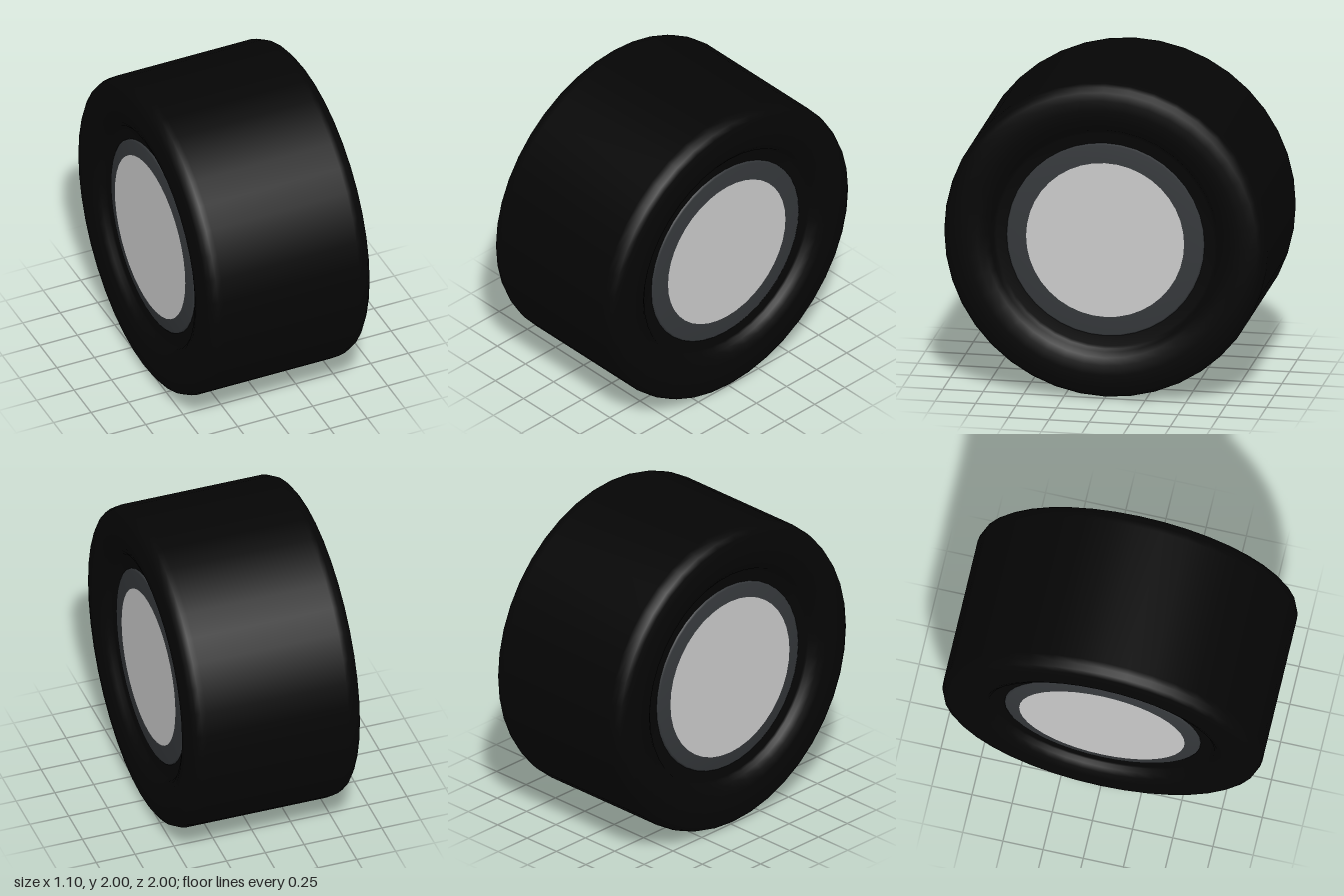
import * as THREE from 'three';

const SEGMENTS = 40;

// Revolves [radius, x] points, ordered from -x to +x, around the x axis.
function revolve(name, points, color) {
  const geometry = new THREE.LatheGeometry(points.map(([r, x]) => new THREE.Vector2(r, x)), SEGMENTS);
  geometry.rotateZ(-Math.PI / 2);
  const mesh = new THREE.Mesh(geometry, new THREE.MeshStandardMaterial({ color }));
  mesh.name = name;
  return mesh;
}

export function createModel() {
  const wheel = new THREE.Group();
  wheel.name = 'wheel';

  // Tyre: flat tread, rounded shoulders, full sidewalls and a grooved bead
  const half = [
    [1, 0.45], [0.993, 0.485], [0.978, 0.518], [0.95, 0.538], [0.9, 0.548], [0.84, 0.552],
    [0.78, 0.547], [0.735, 0.53], [0.705, 0.505], [0.692, 0.48], [0.675, 0.474], [0.6, 0.468],
  ];
  const mirrored = half.map(([r, x]) => [r, -x]).reverse();
  wheel.add(revolve('tyre', [...mirrored, ...half], 0x050505));

  // Each side: a dark, slightly coned rim ring and a pale hub disc
  for (const [label, angle, discRadius, discX] of [['left', 0, 0.488, 0.486], ['right', Math.PI, 0.515, 0.493]]) {
    const face = new THREE.Group();
    face.name = `${label}Hub`;
    face.add(revolve('rimRing', [[0.612, 0.46], [0.61, 0.475], [0.6, 0.481], [discRadius, discX]], 0x35383b));
    const disc = new THREE.Mesh(
      new THREE.CircleGeometry(discRadius, SEGMENTS).rotateY(Math.PI / 2),
      new THREE.MeshStandardMaterial({ color: 0xcccccc }),
    );
    disc.name = 'hubDisc';
    disc.position.x = discX;
    face.add(disc);
    face.rotation.y = angle;
    wheel.add(face);
  }

  wheel.position.y = 1;
  const model = new THREE.Group();
  model.add(wheel);
  return model;
}
